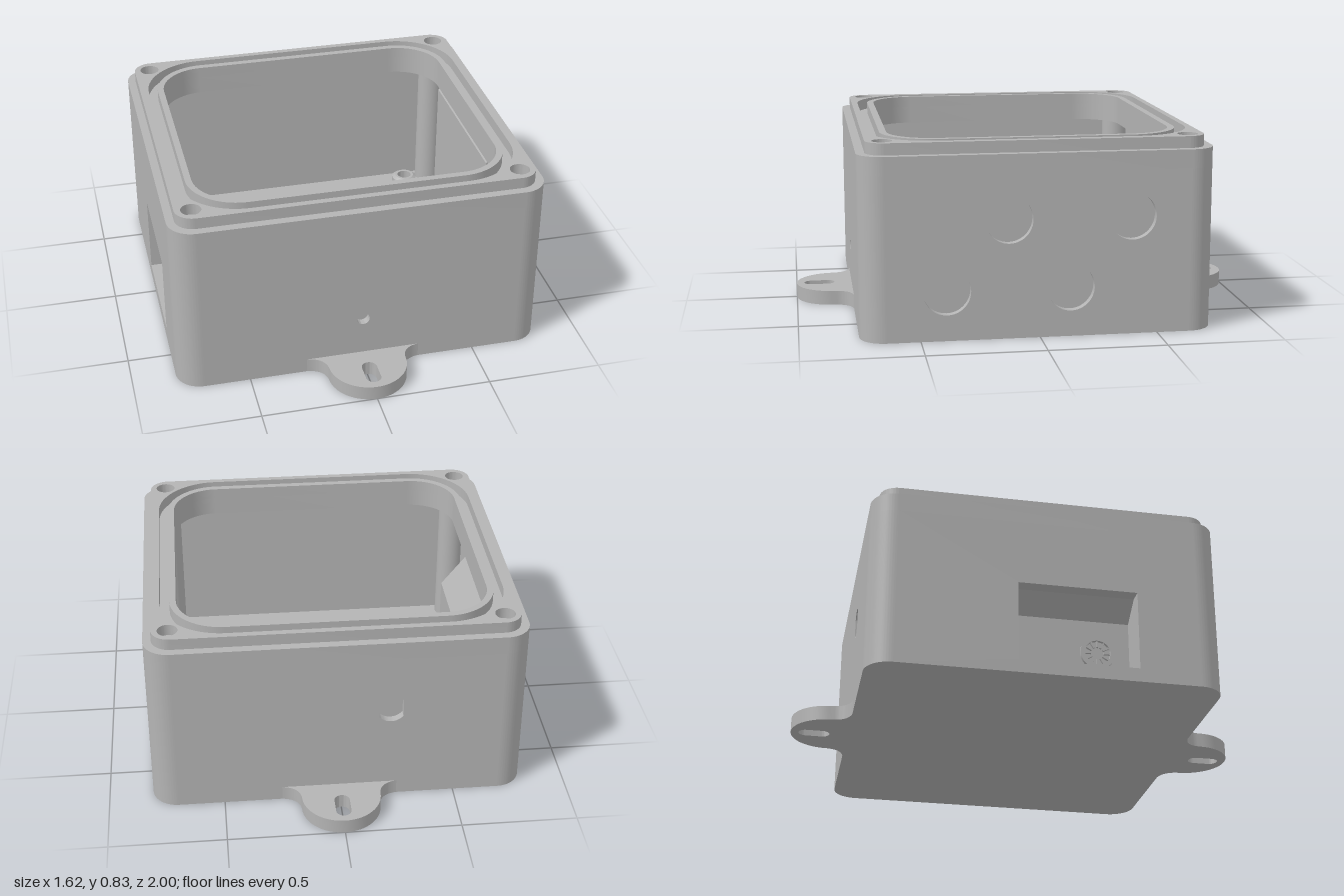
import * as THREE from 'three';
import { toCreasedNormals } from 'three/addons/utils/BufferGeometryUtils.js';

export function createModel() {
  const model = new THREE.Group();
  model.name = 'junctionBox';
  const grey = new THREE.MeshStandardMaterial({ color: 0xb4b4b4 });
  grey.name = 'housingGrey';

  const add = (name, geometry, parent = model) => {
    const mesh = new THREE.Mesh(geometry, grey);
    mesh.name = name;
    parent.add(mesh);
    return mesh;
  };
  const extrude = (shape, depth) => toCreasedNormals(
    new THREE.ExtrudeGeometry(shape, { depth, bevelEnabled: false, curveSegments: 16 }), 0.5);
  // plan outline raised from y0 to y1
  const slab = (shape, y0, y1) => extrude(shape, y1 - y0).rotateX(-Math.PI / 2).translate(0, y0, 0);
  // side profile swept from z0 to z1
  const prism = (pts, z0, z1) =>
    extrude(new THREE.Shape(pts.map(p => new THREE.Vector2(...p))), z1 - z0).translate(0, 0, z0);

  const roundRect = (w, d, r, Type = THREE.Shape) => {
    const s = new Type();
    s.moveTo(w, -d + r);
    s.absarc(w - r, d - r, r, 0, Math.PI / 2);
    s.absarc(-w + r, d - r, r, Math.PI / 2, Math.PI);
    s.absarc(-w + r, -d + r, r, Math.PI, Math.PI * 1.5);
    s.absarc(w - r, -d + r, r, Math.PI * 1.5, Math.PI * 2);
    return s;
  };
  // circle with optional flats at the sides and top
  const cutCircle = (u, v, r, flatX = r, flatTop = r) => {
    const pts = [];
    for (let i = 0; i < 48; i++) {
      const a = i / 48 * Math.PI * 2;
      pts.push(new THREE.Vector2(
        u + THREE.MathUtils.clamp(r * Math.cos(a), -flatX, flatX),
        v + Math.min(r * Math.sin(a), flatTop)));
    }
    return new THREE.Path(pts);
  };
  const rectPath = (u0, v0, u1, v1, Type = THREE.Path) => new Type(
    [[u0, v0], [u1, v0], [u1, v1], [u0, v1]].map(p => new THREE.Vector2(...p)));

  const W = 0.81, D = 0.75, R = 0.11, T = 0.06, deckY = 0.7;

  // floor
  add('floor', slab(roundRect(W - T, D - T, R - T), 0, T));

  // walls: pierced outer layer over a backing layer, giving blind knockouts
  const wall = (name, half, dist, turn, knockouts, opening) => {
    const group = new THREE.Group();
    group.name = name;
    group.rotation.y = turn;
    const outer = rectPath(-half, 0, half, deckY, THREE.Shape);
    const inner = rectPath(-half, 0, half, deckY, THREE.Shape);
    outer.holes.push(...knockouts);
    if (opening) {
      outer.holes.push(opening);
      inner.holes.push(opening);
    }
    add(name + 'Outer', extrude(outer, 0.035).translate(0, 0, dist - 0.035), group);
    add(name + 'Backing', extrude(inner, T - 0.035).translate(0, 0, dist - T), group);
    model.add(group);
  };
  const sideKnockouts = [[-0.13, 0.505], [0.39, 0.505], [-0.39, 0.21], [0.13, 0.21]]
    .map(([u, v]) => cutCircle(u, v, 0.1, 0.1, 0.094));
  wall('frontWall', W - R, D, 0, [cutCircle(0, 0.24, 0.028)]);
  wall('backWall', W - R, D, Math.PI, [cutCircle(0.22, 0.45, 0.065, 0.052)]);
  wall('knockoutWall', D - R, W, Math.PI / 2, sideKnockouts);
  wall('socketWall', D - R, W, -Math.PI / 2, [], rectPath(-0.13, T, 0.38, 0.41));

  // rounded vertical corners
  const quarter = new THREE.Shape();
  quarter.absarc(0, 0, R, 0, Math.PI / 2);
  quarter.absarc(0, 0, R - T, Math.PI / 2, 0, true);
  [[1, -1], [-1, -1], [-1, 1], [1, 1]].forEach(([sx, sz], i) => {
    const corner = add('cornerWall', slab(quarter, 0, deckY));
    corner.rotation.y = i * Math.PI / 2;
    corner.position.set(sx * (W - R), 0, sz * (D - R));
  });

  // top deck, stepped rim and inner ridge around the seal groove
  const opening = () => roundRect(0.667, 0.608, 0.2, THREE.Path);
  const screwSpots = [];
  for (const sx of [-1, 1]) for (const sz of [-1, 1]) screwSpots.push([sx * 0.705, sz * 0.642]);
  const screwHoles = r => screwSpots.map(([x, z]) => cutCircle(x, z, r));

  const deck = roundRect(W, D, R);
  deck.holes.push(opening(), ...screwHoles(0.033));
  add('topDeck', slab(deck, deckY, 0.78));

  const rim = roundRect(0.775, 0.713, 0.08);
  rim.holes.push(roundRect(0.737, 0.685, 0.27, THREE.Path), ...screwHoles(0.043));
  add('steppedRim', slab(rim, 0.78, 0.83));

  const ridge = roundRect(0.695, 0.638, 0.23);
  ridge.holes.push(opening());
  add('sealRidge', slab(ridge, 0.78, 0.83));

  // screw columns under the deck
  for (const [x, z] of screwSpots) {
    add('screwColumn', new THREE.CylinderGeometry(0.064, 0.064, deckY - T, 32))
      .position.set(x, (deckY + T) / 2, z);
  }

  // board standoffs with flared foot and blind bore
  const standoff = new THREE.LatheGeometry([
    [0.09, T], [0.075, 0.067], [0.064, 0.08], [0.06, 0.095], [0.06, 0.17],
    [0.045, 0.18], [0.033, 0.18], [0.033, 0.08], [0, 0.08],
  ].map(p => new THREE.Vector2(...p)), 32);
  const standoffGeometry = toCreasedNormals(standoff, 0.5);
  for (const x of [-0.53, 0.53]) for (const z of [-0.475, 0.39]) {
    add('standoff', standoffGeometry).position.set(x, 0, z);
  }

  // mounting tabs with slots, front and back
  const tab = new THREE.Shape();
  tab.moveTo(-0.25, 0.74);
  tab.lineTo(0.25, 0.74);
  tab.lineTo(0.25, 0.75);
  tab.quadraticCurveTo(0.175, 0.76, 0.17, 0.83);
  tab.absarc(0, 0.83, 0.17, 0, Math.PI);
  tab.quadraticCurveTo(-0.175, 0.76, -0.25, 0.75);
  const slot = new THREE.Path();
  slot.absarc(0, 0.933, 0.033, 0, Math.PI);
  slot.absarc(0, 0.862, 0.033, Math.PI, Math.PI * 2);
  tab.holes.push(slot);
  for (const turn of [0, Math.PI]) {
    add('mountingTab', slab(tab, 0, 0.064)).rotation.y = turn;
  }

  // socket recess housing: sloped hood with two end cheeks
  add('recessHood', prism(
    [[-0.75, 0.52], [-0.75, 0.41], [-0.645, 0.34], [-0.645, T], [-0.625, T], [-0.625, 0.36]], -0.13, 0.38));
  const cheek = [[-0.75, 0.52], [-0.75, T], [-0.625, T], [-0.625, 0.36]];
  add('recessCheek', prism(cheek, -0.18, -0.13));
  add('recessCheek', prism(cheek, 0.38, 0.41));

  // socket ring with ribbed bore
  const socket = new THREE.Group();
  socket.name = 'socket';
  socket.position.set(-0.645, 0.19, 0.24);
  socket.rotation.y = -Math.PI / 2;
  const ring = new THREE.Shape();
  ring.absarc(0, 0, 0.075, 0, Math.PI * 2);
  ring.holes.push(cutCircle(0, 0, 0.055));
  add('socketRing', extrude(ring, 0.015), socket);
  for (let i = 0; i < 12; i++) {
    const a = i / 12 * Math.PI * 2;
    const rib = add('socketRib', new THREE.BoxGeometry(0.03, 0.008, 0.01), socket);
    rib.position.set(0.042 * Math.cos(a), 0.042 * Math.sin(a), 0.005);
    rib.rotation.z = a;
  }
  model.add(socket);

  // thickened pad behind the knockouts
  add('knockoutPad', prism([[0.75, T], [0.75, 0.69], [0.7, 0.63], [0.7, T]], -0.5, 0.24));

  return model;
}
